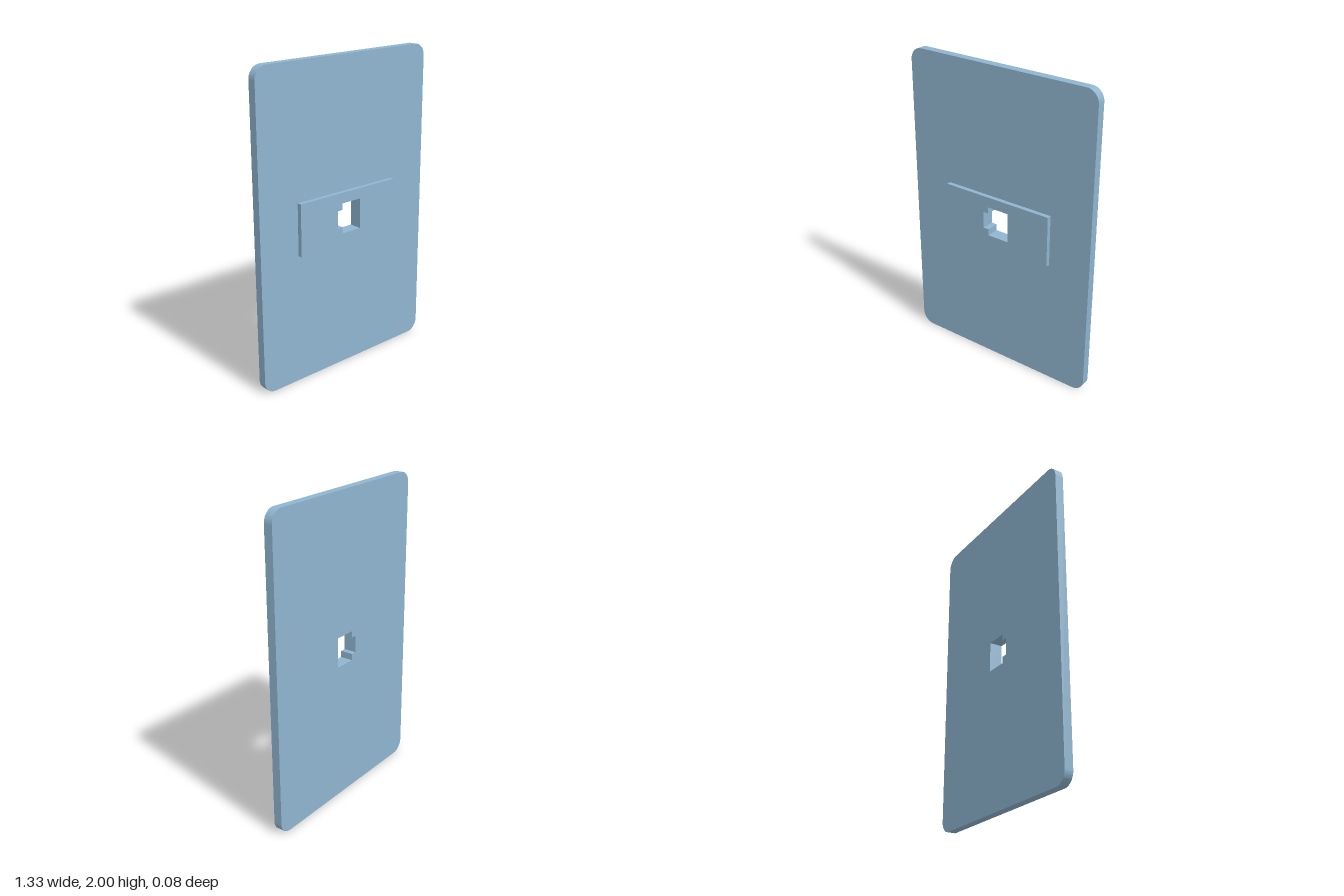
import * as THREE from 'three';
import { toCreasedNormals } from 'three/addons/utils/BufferGeometryUtils.js';

const BACK = -0.042, FACE = 0.013, FRONT = 0.042;

// Rectangle outline with optional corner radius
function rectShape(x0, y0, x1, y1, r = 0) {
  const s = new THREE.Shape();
  if (r === 0) {
    s.moveTo(x0, y0).lineTo(x1, y0).lineTo(x1, y1).lineTo(x0, y1).closePath();
    return s;
  }
  s.absarc(x1 - r, y0 + r, r, -Math.PI / 2, 0);
  s.absarc(x1 - r, y1 - r, r, 0, Math.PI / 2);
  s.absarc(x0 + r, y1 - r, r, Math.PI / 2, Math.PI);
  s.absarc(x0 + r, y0 + r, r, Math.PI, Math.PI * 1.5);
  s.closePath();
  return s;
}

// Socket opening with a narrower notch on the -x side
function socketHole() {
  return new THREE.Path([
    [-0.058, 0.905], [0.09, 0.905], [0.09, 1.1], [-0.058, 1.1],
    [-0.058, 1.058], [-0.095, 1.058], [-0.095, 0.947], [-0.058, 0.947],
  ].map(([x, y]) => new THREE.Vector2(x, y)));
}

export function createModel() {
  const group = new THREE.Group();
  group.name = 'wallPlate';
  const material = new THREE.MeshStandardMaterial({ color: 0x8fb5d0 });

  const addSlab = (name, shape, z0, z1) => {
    shape.holes.push(socketHole());
    const geometry = new THREE.ExtrudeGeometry(shape, {
      depth: z1 - z0, bevelEnabled: false, curveSegments: 16,
    });
    geometry.translate(0, 0, z0);
    const mesh = new THREE.Mesh(toCreasedNormals(geometry, 0.5), material);
    mesh.name = name;
    group.add(mesh);
  };

  // Rounded cover plate and the raised panel around the opening
  addSlab('coverPlate', rectShape(-0.665, 0, 0.665, 2, 0.08), BACK, FACE);
  addSlab('raisedPanel', rectShape(-0.385, 0.835, 0.383, 1.168), FACE, FRONT);

  return group;
}
